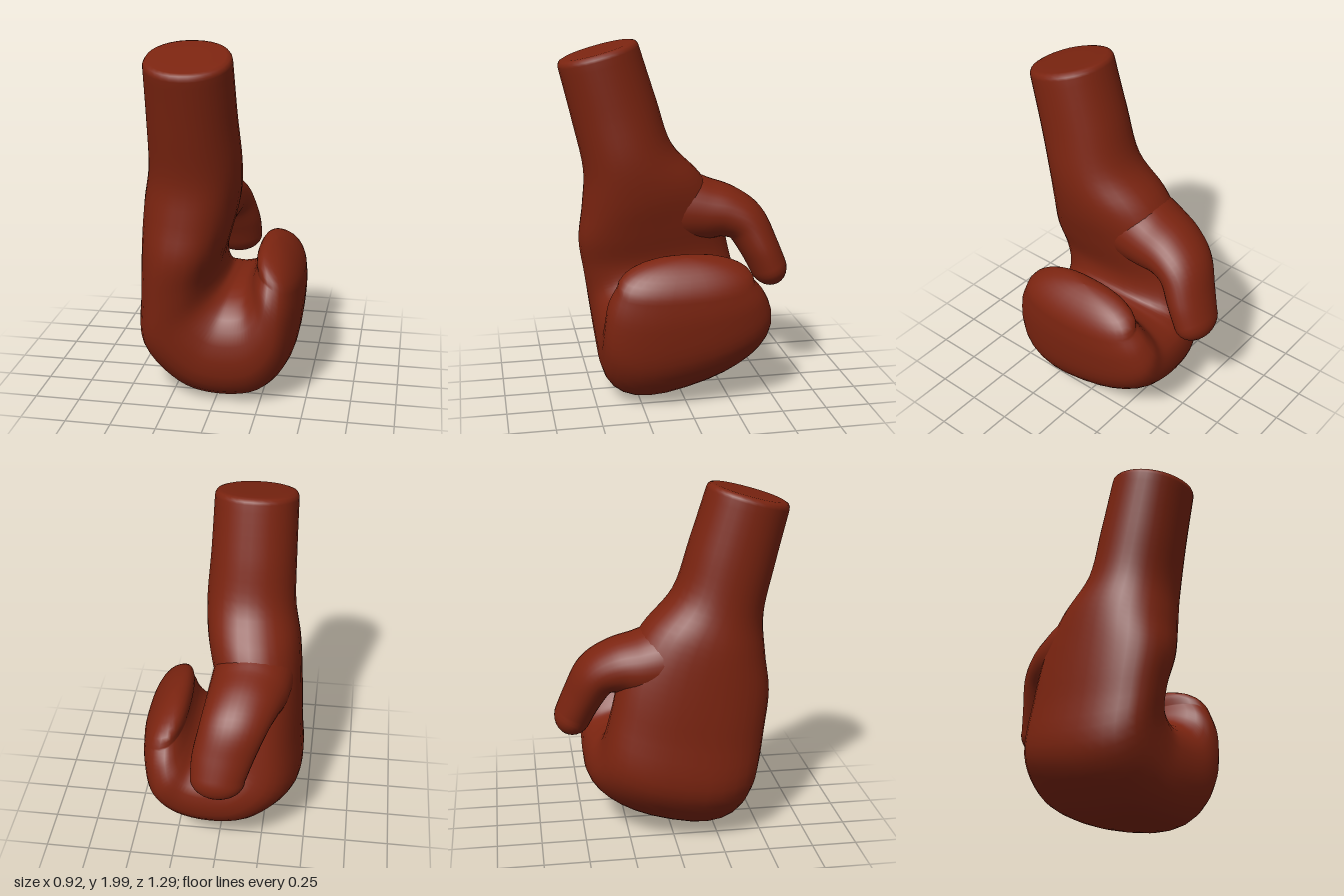
import * as THREE from 'three';

const SIDES = 32;
const material = new THREE.MeshStandardMaterial({ color: 0x7b2410 });

// Smooth interpolation of every column of a table of sections
function sample(rows, t) {
  const f = t * (rows.length - 1);
  const i = Math.min(Math.floor(f), rows.length - 2);
  const u = f - i;
  const at = (j) => rows[Math.max(0, Math.min(rows.length - 1, j))];
  return rows[0].map((_, c) => {
    const [a, b, d, e] = [at(i - 1)[c], at(i)[c], at(i + 1)[c], at(i + 2)[c]];
    return b + 0.5 * u * (d - a + u * (2 * a - 5 * b + 4 * d - e + u * (3 * (b - d) + e - a)));
  });
}

// A closed ring: centre plus two half axes, squareness set by exponent n
function makeRing(centre, axisA, axisB, n) {
  const power = (v) => Math.sign(v) * Math.abs(v) ** (2 / n);
  return Array.from({ length: SIDES }, (_, i) => {
    const a = (i / SIDES) * Math.PI * 2;
    return centre.clone()
      .addScaledVector(axisA, power(Math.cos(a)))
      .addScaledVector(axisB, power(Math.sin(a)));
  });
}

// Rings that close an end: each step is [scale, fraction of the lift]
function capRings(ring, lift, steps) {
  const centre = ring.reduce((s, p) => s.add(p), new THREE.Vector3()).divideScalar(SIDES);
  return steps.map(([s, h]) => ring.map((p) =>
    p.clone().sub(centre).multiplyScalar(s).add(centre).addScaledVector(lift, h)));
}

const roundSteps = Array.from({ length: 8 }, (_, i) => {
  const a = ((i + 1) / 8) * Math.PI / 2;
  return [Math.max(0, Math.cos(a)), Math.sin(a)];
});
const flatSteps = [[0, 1], [0.5, 1], [0.86, 1], [0.95, 0.8], [0.99, 0.4]];

function loft(rings, name) {
  const index = [];
  for (let r = 0; r < rings.length - 1; r++) {
    for (let i = 0; i < SIDES; i++) {
      const j = (i + 1) % SIDES;
      const a = r * SIDES + i, b = r * SIDES + j;
      index.push(a, b, a + SIDES, b, b + SIDES, a + SIDES);
    }
  }
  const geometry = new THREE.BufferGeometry().setFromPoints(rings.flat());
  geometry.setIndex(index);
  geometry.computeVertexNormals();
  const mesh = new THREE.Mesh(geometry, material);
  mesh.name = name;
  return mesh;
}

// Wrist, palm and curled fingers as one sweep
function makeHand() {
  // inner x, inner y, outer x, outer y, centre z, half depth, inner slope, outer slope, squareness
  const sections = [
    [0.105, 1.91, -0.355, 1.91, 0.415, 0.222, -0.27, -0.27, 2.1],
    [0.115, 1.62, -0.36, 1.62, 0.335, 0.233, -0.27, -0.27, 2.1],
    [0.13, 1.35, -0.37, 1.35, 0.262, 0.25, -0.27, -0.27, 2.1],
    [0.11, 1.14, -0.41, 1.15, 0.18, 0.34, -0.25, -0.25, 2.2],
    [0.06, 0.95, -0.43, 0.93, 0.13, 0.41, -0.18, -0.22, 2.3],
    [0.01, 0.77, -0.445, 0.65, 0.085, 0.425, -0.08, -0.2, 2.4],
    [0.025, 0.67, -0.45, 0.32, 0.04, 0.44, 0, -0.2, 2.4],
    [0.065, 0.645, -0.25, 0.1, 0.0, 0.465, 0, -0.24, 2.4],
    [0.1, 0.645, -0.01, 0.04, -0.01, 0.475, 0, -0.26, 2.4],
    [0.14, 0.66, 0.25, 0.085, -0.01, 0.475, 0, -0.26, 2.4],
    [0.168, 0.69, 0.41, 0.26, -0.01, 0.47, 0, -0.2, 2.4],
    [0.187, 0.725, 0.455, 0.5, 0.005, 0.435, 0, -0.1, 2.4],
    [0.198, 0.755, 0.452, 0.67, 0.01, 0.38, 0, -0.02, 2.4],
  ];
  const rings = [];
  for (let i = 0; i <= 60; i++) {
    const [xi, yi, xo, yo, z, hz, slopeIn, slopeOut, n] = sample(sections, i / 60);
    const ring = makeRing(
      new THREE.Vector3((xi + xo) / 2, (yi + yo) / 2, z),
      new THREE.Vector3((xi - xo) / 2, (yi - yo) / 2, 0),
      new THREE.Vector3(0, 0, hz), n);
    // lean each section along z, blending from its inner to its outer side
    ring.forEach((p, k) => {
      const inner = (1 + Math.cos((k / SIDES) * Math.PI * 2)) / 2;
      p.y += (p.z - z) * THREE.MathUtils.lerp(slopeOut, slopeIn, inner);
    });
    rings.push(ring);
  }
  const top = capRings(rings[0], new THREE.Vector3(0, 0.034, 0.008), flatSteps);
  const tip = capRings(rings[60], new THREE.Vector3(-0.03, 0.147, -0.01), roundSteps);
  return loft([...top, ...rings, ...tip], 'hand');
}

// Thumb bending down behind the palm
function makeThumb() {
  // centre x, y, z, half width, half thickness
  const sections = [
    [-0.16, 1.06, 0.14, 0.2, 0.24],
    [-0.168, 1.04, -0.02, 0.225, 0.22],
    [-0.155, 1.02, -0.17, 0.222, 0.187],
    [-0.13, 1.005, -0.3, 0.205, 0.152],
    [-0.095, 0.945, -0.412, 0.188, 0.128],
    [-0.05, 0.81, -0.488, 0.172, 0.112],
    [-0.025, 0.69, -0.542, 0.152, 0.105],
  ];
  const centreAt = (t) => new THREE.Vector3(...sample(sections, t).slice(0, 3));
  const across = new THREE.Vector3(1, 0, 0);
  const tangent = new THREE.Vector3();
  const rings = [];
  for (let i = 0; i <= 36; i++) {
    const t = i / 36;
    const [x, y, z, w, h] = sample(sections, t);
    tangent.copy(centreAt(Math.min(1, t + 0.03))).sub(centreAt(Math.max(0, t - 0.03)));
    tangent.x = 0;
    tangent.normalize();
    rings.push(makeRing(new THREE.Vector3(x, y, z), across.clone().multiplyScalar(w),
      tangent.clone().cross(across).multiplyScalar(h), 2));
  }
  const tip = capRings(rings[36], tangent.clone().multiplyScalar(0.115), roundSteps);
  return loft([...rings, ...tip], 'thumb');
}

export function createModel() {
  const group = new THREE.Group();
  group.name = 'mittenHand';
  group.add(makeHand(), makeThumb());
  return group;
}
